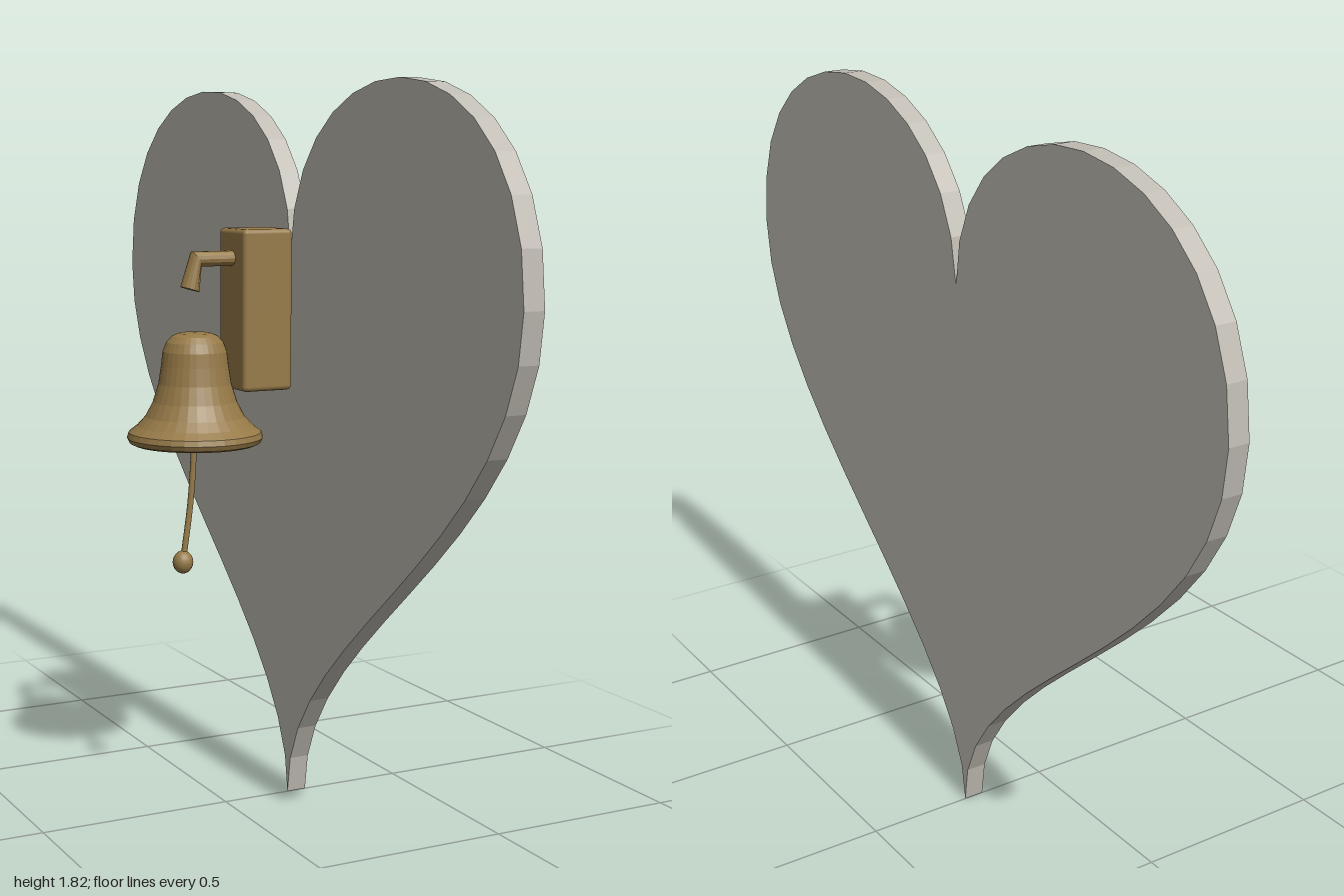
import * as THREE from 'three';
import { RoundedBoxGeometry } from 'three/addons/geometries/RoundedBoxGeometry.js';

const BELL_X = -0.066;
const AXIS_Z = -0.04;

// Give a geometry one normal per face
function faceted(geometry) {
  const flat = geometry.index ? geometry.toNonIndexed() : geometry;
  flat.computeVertexNormals();
  return flat;
}

export function createModel() {
  const stone = new THREE.MeshStandardMaterial({ color: 0xc0bcb3 });
  stone.name = 'pale stone';
  const brass = new THREE.MeshStandardMaterial({ color: 0x967a48 });
  brass.name = 'aged brass';

  const model = new THREE.Group();
  model.name = 'wallBell';
  const add = (name, geometry, material, x = 0, y = 0, z = 0) => {
    const mesh = new THREE.Mesh(geometry, material);
    mesh.name = name;
    mesh.position.set(x, y, z);
    model.add(mesh);
    return mesh;
  };

  // Heart-shaped backing plate, extruded along x
  const heart = new THREE.Shape();
  heart.moveTo(0, 0);
  heart.bezierCurveTo(0, 0.45, 1, 0.79, 1, 1.33);
  heart.bezierCurveTo(1, 1.965, 0.02, 1.965, 0, 1.4);
  heart.bezierCurveTo(-0.02, 1.965, -1, 1.965, -1, 1.33);
  heart.bezierCurveTo(-1, 0.79, 0, 0.45, 0, 0);
  const plate = new THREE.ExtrudeGeometry(heart, { depth: 0.052, bevelEnabled: false, curveSegments: 14 });
  plate.rotateY(Math.PI / 2);
  add('heartPlate', plate, stone, 0.18, 0, 0);

  // Mounting block
  add('mountingBlock', new RoundedBoxGeometry(0.136, 0.402, 0.144, 2, 0.012), brass, 0.104, 1.264, -0.042);

  // Arm: three elliptical sections with a mitred bend
  // each: centre x, centre y, half-height vector x, y, half-width in z
  const sections = [
    [0.05, 1.392, 0, 0.019, 0.021],
    [-0.062, 1.392, -0.012, 0.019, 0.021],
    [-0.079, 1.318, -0.024, 0.007, 0.025],
  ];
  const arm = new THREE.CylinderGeometry(1, 1, 1, 14, 2);
  const p = arm.attributes.position;
  for (let i = 0; i < p.count; i++) {
    const [cx, cy, hx, hy, w] = sections[Math.round((p.getY(i) + 0.5) * 2)];
    const u = p.getX(i);
    p.setXYZ(i, cx + hx * u, cy + hy * u, p.getZ(i) * w);
  }
  add('hookArm', faceted(arm), brass, 0, 0, AXIS_Z);

  // Hollow bell: up the inside wall first, then round the lip and up the outside
  const profile = [
    [0, 1.185], [0.06, 1.16], [0.07, 1.1], [0.09, 1.03], [0.145, 0.945], [0.153, 0.933],
    [0.164, 0.938], [0.17, 0.95], [0.166, 0.964], [0.145, 0.98], [0.124, 1.003], [0.105, 1.04],
    [0.091, 1.085], [0.084, 1.13], [0.08, 1.165], [0.071, 1.188], [0.057, 1.203], [0.04, 1.21], [0, 1.211],
  ].map(([r, y]) => new THREE.Vector2(r, y));
  add('bell', faceted(new THREE.LatheGeometry(profile, 32)), brass, BELL_X, 0, AXIS_Z);

  // Pull cord and its knob
  const cord = new THREE.CatmullRomCurve3([
    new THREE.Vector3(-0.066, 1.18, AXIS_Z),
    new THREE.Vector3(-0.069, 0.93, AXIS_Z),
    new THREE.Vector3(-0.08, 0.79, -0.037),
    new THREE.Vector3(-0.103, 0.65, -0.03),
  ]);
  add('pullCord', new THREE.TubeGeometry(cord, 16, 0.008, 8), brass);
  const knob = add('cordKnob', new THREE.SphereGeometry(0.026, 16, 12), brass, -0.105, 0.636, -0.03);
  knob.scale.y = 1.12;

  return model;
}
